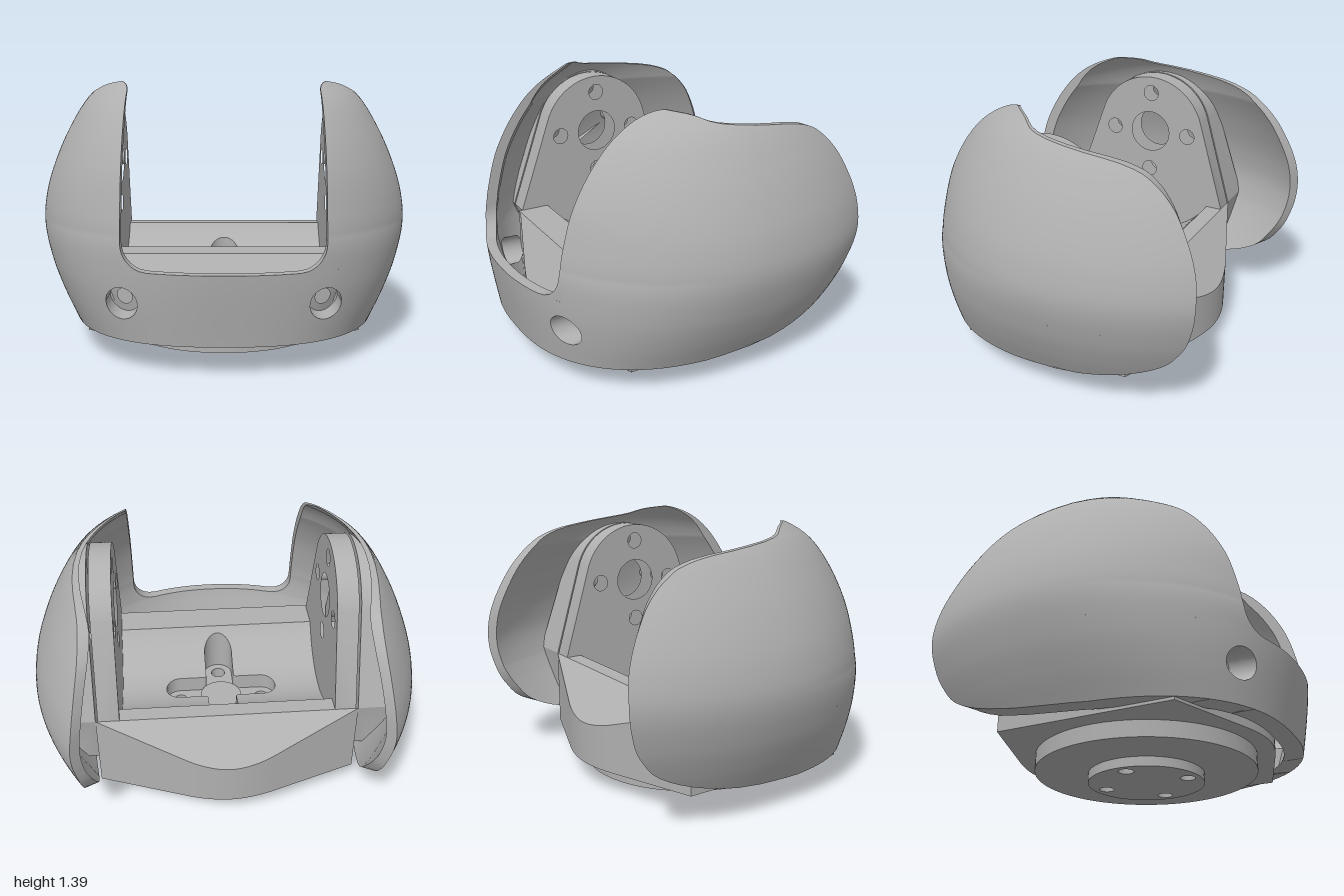
import * as THREE from 'three';
import { mergeGeometries, toCreasedNormals } from 'three/addons/utils/BufferGeometryUtils.js';

const grey = new THREE.MeshStandardMaterial({ color: 0xb0b0b0 });
grey.name = 'grey plastic';

const curve = (ys, values) => {
  const c = new THREE.CubicInterpolant(ys, values, 1, new Float32Array(1));
  return (y) => c.evaluate(y)[0];
};
const { lerp, clamp } = THREE.MathUtils;

// Shell section at each height: half width, front depth, rear depth about z = CZ
const CZ = -0.13;
const halfWidth = curve([0.15, 0.3, 0.45, 0.65, 0.8, 0.95, 1.15, 1.32, 1.394], [0.815, 0.893, 0.955, 1, 0.985, 0.94, 0.85, 0.74, 0.66]);
const frontDepth = curve([0.15, 0.51, 0.65, 0.8, 1, 1.23, 1.31, 1.394], [0.93, 0.988, 1, 0.975, 0.92, 0.785, 0.7, 0.56]);
const rearDepth = (y) => 1.17 * halfWidth(y);
// The front half is squarer near the bottom: its superellipse power
const frontPower = (y) => 2 + 0.5 * clamp((0.68 - y) / 0.53, 0, 1);
// Rear and top rim of a side wing, as z by height
const rimZ = curve(
  [0.15, 0.17, 0.2, 0.28, 0.4, 0.55, 0.7, 0.85, 1.05, 1.12, 1.2, 1.25, 1.285, 1.312, 1.34, 1.38, 1.394],
  [0.1, -0.2, -0.4, -0.65, -0.78, -0.843, -0.86, -0.84, -0.75, -0.7, -0.615, -0.53, -0.4, -0.2, 0, 0.12, 0.2]);
const thickness = (y) => (0.055 + 0.045 * Math.max(0, (0.51 - y) / 0.36)) * (1 - 0.8 * clamp((y - 1.2) / 0.194, 0, 1));

function grid(nu, nv, fn, flip = false) {
  const pos = [], index = [];
  for (let j = 0; j <= nv; j++) for (let i = 0; i <= nu; i++) pos.push(...fn(i / nu, j / nv));
  for (let j = 0; j < nv; j++) for (let i = 0; i < nu; i++) {
    const a = j * (nu + 1) + i, b = a + 1, d = a + nu + 1, c = d + 1;
    index.push(...(flip ? [a, c, b, a, d, c] : [a, b, c, a, c, d]));
  }
  const g = new THREE.BufferGeometry();
  g.setAttribute('position', new THREE.Float32BufferAttribute(pos, 3));
  g.setIndex(index);
  g.computeVertexNormals();
  return g;
}

function shellPoint(angle, y, t) {
  const c = Math.cos(angle), s = Math.sin(angle), A = halfWidth(y) - t;
  if (c <= 0) return [A * s, y, CZ + (rearDepth(y) - t) * c];
  const k = 2 / frontPower(y);
  return [A * s ** k, y, CZ + (frontDepth(y) - t) * c ** k];
}
const angleAtX = (x, y, t) => Math.asin(Math.min(1, x / (halfWidth(y) - t)) ** (frontPower(y) / 2));
function angleAtRim(y, t) {
  const z = rimZ(y), d = z - CZ + 0.6 * t * clamp((-0.45 - z) / 0.35, 0, 1);
  if (d <= 0) return Math.acos(Math.max(-1, d / (rearDepth(y) - t)));
  return Math.acos(Math.min(1, d / (frontDepth(y) - t)) ** (frontPower(y) / 2));
}

// Smooth normals of the shell skin, taken from its implicit equation
function skinNormals(g, w) {
  const p = g.attributes.position, n = new THREE.Vector3(), sign = w ? -1 : 1;
  const F = (x, y, z) => {
    const t = w * thickness(y), front = z > CZ, power = front ? frontPower(y) : 2;
    const h = (front ? frontDepth(y) : rearDepth(y)) - t;
    return Math.abs(x / (halfWidth(y) - t)) ** power + Math.abs((z - CZ) / h) ** power;
  };
  const e = 0.004;
  for (let i = 0; i < p.count; i++) {
    const x = p.getX(i), y = clamp(p.getY(i), 0.155, 1.389), z = p.getZ(i);
    n.set(F(x + e, y, z) - F(x - e, y, z), F(x, y + e, z) - F(x, y - e, z), F(x, y, z + e) - F(x, y, z - e));
    n.normalize().multiplyScalar(sign);
    g.attributes.normal.setXYZ(i, n.x, n.y, n.z);
  }
  return g;
}

// Thick piece of shell from its height and angle over (u, v)
function shellPiece(nu, nv, height, angle) {
  const P = (u, v, w) => {
    const y = height(u, v), t = w * thickness(y);
    return shellPoint(angle(u, v, y, t), y, t);
  };
  return [
    skinNormals(grid(nu, nv, (u, v) => P(u, v, 0)), 0),
    skinNormals(grid(nu, nv, (u, v) => P(u, v, 1), true), 1),
    grid(nu, 1, (u, w) => P(u, 0, w), true),
    grid(nu, 1, (u, w) => P(u, 1, w)),
    grid(nv, 1, (v, w) => P(0, v, w)),
    grid(nv, 1, (v, w) => P(1, v, w), true),
  ];
}

// Point on a unit square border at an angle
function onSquare(a) {
  const c = Math.cos(a), s = Math.sin(a), m = Math.max(Math.abs(c), Math.abs(s));
  return [c / m, s / m];
}
const turn = (u) => -2 * Math.PI * u;

function halfShell() {
  const low = (u, v) => 0.15 + 0.36 * v ** 1.5;
  const band = shellPiece(12, 10, low, (u, v, y, t) => angleAtX(0.39 * u, y, t));
  // Square patch with a round screw hole
  const hole = shellPiece(48, 4,
    (u, v) => lerp(0.345 + 0.08 * Math.sin(turn(u)), 0.33 + 0.18 * onSquare(turn(u))[1], v),
    (u, v, y, t) => angleAtX(0.49 + lerp(0.08 * Math.cos(turn(u)), 0.1 * onSquare(turn(u))[0], v), y, t));
  const side = shellPiece(48, 16, low, (u, v, y, t) => lerp(angleAtX(0.59, y, t), angleAtRim(y, t), u));
  // Upper wing, with the rounded corners of the front opening
  const openX = (y) => {
    if (y < 0.64) return 0.36 + Math.sqrt(Math.max(0, 0.13 ** 2 - (0.64 - y) ** 2));
    if (y > 1.344) return 0.54 - Math.sqrt(Math.max(0, 0.05 ** 2 - (y - 1.344) ** 2));
    return 0.49;
  };
  const wing = shellPiece(56, 48,
    (u, v) => 0.51 + 0.884 * (v < 0.3 ? 0.34 * (v / 0.3) ** 1.5 : 0.34 + 0.66 * (1 - (1 - (v - 0.3) / 0.7) ** 1.8)),
    (u, v, y, t) => {
      const a = angleAtX(openX(y), y, t);
      return lerp(a, Math.max(a + 0.002, angleAtRim(y, t)), u);
    });
  return mergeGeometries([...band, ...hole, ...side, ...wing]);
}

// Deeper wall and shoulder inside a screw hole
function screwSeat() {
  return toCreasedNormals(grid(48, 2, (u, v) => {
    const r = v < 1 ? 0.08 : 0.04, t = v > 0 ? 0.12 : 0.05;
    const x = 0.49 + r * Math.cos(turn(u)), y = 0.345 + r * Math.sin(turn(u));
    return shellPoint(angleAtX(x, y, t), y, t);
  }, true), 0.6);
}

function mirrored(g) {
  const m = g.clone().scale(-1, 1, 1);
  if (!m.index) m.setIndex([...Array(m.attributes.position.count).keys()]);
  const ix = m.index.array;
  for (let i = 0; i < ix.length; i += 3) [ix[i], ix[i + 1]] = [ix[i + 1], ix[i]];
  return m;
}

const circlePath = (x, y, r) => new THREE.Path().absarc(x, y, r, 0, Math.PI * 2, true);
const boltCircle = (x, y, r) => [0, 1, 2, 3].map((k) =>
  circlePath(x + 0.235 * Math.cos(k * Math.PI / 2), y + 0.235 * Math.sin(k * Math.PI / 2), r));
const extrude = (shape, depth) => new THREE.ExtrudeGeometry(shape, { depth, bevelEnabled: false, curveSegments: 32 });
// Upright slab from a plan shape whose y is -z
const slab = (shape, y0, y1) => toCreasedNormals(extrude(shape, y1 - y0).rotateX(-Math.PI / 2).translate(0, y0, 0), 0.4);

// Rounded, drilled ear outline, drawn in (-z, y)
function earShape(bottom, rear) {
  const s = new THREE.Shape(), rad = Math.PI / 180;
  s.moveTo(-0.38, bottom).lineTo(-0.5, 0.545);
  s.absarc(0, 0.96, 0.33, 160.2 * rad, 16.8 * rad, true);
  s.lineTo(0.47, 0.545).lineTo(rear, bottom);
  s.holes = [circlePath(0, 0.96, 0.12), ...boltCircle(0, 0.96, 0.045)];
  return s;
}

// Bowed edge of the base: k = 1 at the rear, -1 at the front
function bow(s, k, x, z) {
  s.lineTo(k * x, k * z).lineTo(k * 0.22, k * 0.64).quadraticCurveTo(k * 0.1, k * 0.68, 0, k * 0.68);
  return s.quadraticCurveTo(-k * 0.1, k * 0.68, -k * 0.22, k * 0.64).lineTo(-k * x, k * z);
}

export function createModel() {
  const model = new THREE.Group();
  const add = (name, g) => {
    const m = new THREE.Mesh(g, grey);
    m.name = name;
    model.add(m);
  };
  const addPair = (name, g) => {
    add(name + 'Left', g);
    add(name + 'Right', mirrored(g));
  };

  // Outer shell and screw seats
  addPair('shell', halfShell());
  addPair('screwSeat', screwSeat());

  // Base slab and round flanges, drilled by four bolts
  const base = bow(bow(new THREE.Shape().moveTo(0.69, 0), 1, 0.69, 0.47), -1, 0.69, 0.47);
  base.holes = boltCircle(0, 0, 0.04);
  add('base', slab(base, 0.135, 0.27));
  for (const [name, r, y0, y1] of [['flange', 0.583, 0.05, 0.135], ['hub', 0.305, 0, 0.05]]) {
    const disc = new THREE.Shape().absarc(0, 0, r, 0, Math.PI * 2);
    disc.holes = boltCircle(0, 0, 0.04);
    add(name, slab(disc, y0, y1));
  }

  // Curved trough with a cross-shaped recess
  const troughY = (z) => 0.78 - Math.sqrt(0.43 ** 2 - Math.min(0.36, Math.abs(z + 0.02)) ** 2);
  const crossPoint = (u) => {
    const a = u * Math.PI * 2, near = Math.abs(a - Math.round(a / (Math.PI / 2)) * Math.PI / 2);
    const s = Math.sin(near), c = Math.cos(near), w = 0.08, d = 0.235;
    const arm = s > 0 && (w / s) * c < d ? w / s : d * c + Math.sqrt(Math.max(0, w * w - (d * s) ** 2));
    const r = Math.max(arm, 0.12);
    return [r * Math.cos(a), r * Math.sin(a)];
  };
  add('trough', grid(192, 14, (u, v) => {
    const [x, z] = crossPoint(u), [sx, sz] = onSquare(u * Math.PI * 2);
    const zz = lerp(z, -0.02 + 0.36 * sz, v);
    return [lerp(x, 0.57 * sx, v), troughY(zz), zz];
  }));
  add('crossRecessWall', grid(192, 1, (u, v) => {
    const [x, z] = crossPoint(u);
    return [x, lerp(0.27, troughY(z), v), z];
  }));
  add('crossBoss', new THREE.CylinderGeometry(0.118, 0.118, 0.03, 40).translate(0, 0.28, 0));

  // Ledges before and behind the trough
  add('rearLedge', new THREE.BoxGeometry(1.14, 0.345, 0.09).translate(0, 0.3725, -0.425));
  add('frontLedge', new THREE.BoxGeometry(1.14, 0.345, 0.18).translate(0, 0.3725, 0.43));

  // Sloping wedges: the top of an upright slab follows a plane
  const wedge = (shape, topAt) => {
    const g = extrude(shape, 1).rotateX(-Math.PI / 2), p = g.attributes.position;
    for (let i = 0; i < p.count; i++) p.setY(i, p.getY(i) > 0.5 ? topAt(p.getZ(i)) : 0.14);
    return toCreasedNormals(g, 0.4);
  };
  add('rearWedge', wedge(bow(new THREE.Shape().moveTo(0, 0.47), 1, 0.69, 0.47), (z) => 0.545 + (z + 0.47) * 0.9));
  add('frontWedge', wedge(bow(new THREE.Shape().moveTo(0, -0.52), -1, 0.55, 0.52), (z) => 0.545 - (z - 0.52) * 1.6));

  // Drilled ears, and ribs reaching from them to the shell
  const ear = extrude(earShape(0.2, 0.47), 0.112).rotateY(Math.PI / 2).translate(0.566, 0, 0);
  addPair('ear', toCreasedNormals(ear, 0.4));
  const rib = extrude(earShape(0.26, 0.42), 1).rotateY(Math.PI / 2), rp = rib.attributes.position;
  for (let i = 0; i < rp.count; i++) {
    const y = rp.getY(i), z = rp.getZ(i), front = z > CZ, power = front ? frontPower(y) : 2;
    const d = Math.abs(z - CZ) / (front ? frontDepth(y) : rearDepth(y));
    const skin = halfWidth(y) * (1 - d ** power) ** (1 / power) - 0.03;
    rp.setX(i, rp.getX(i) < 0.5 ? 0.69 : Math.max(0.691, skin));
  }
  addPair('rib', toCreasedNormals(rib, 0.4));
  return model;
}
